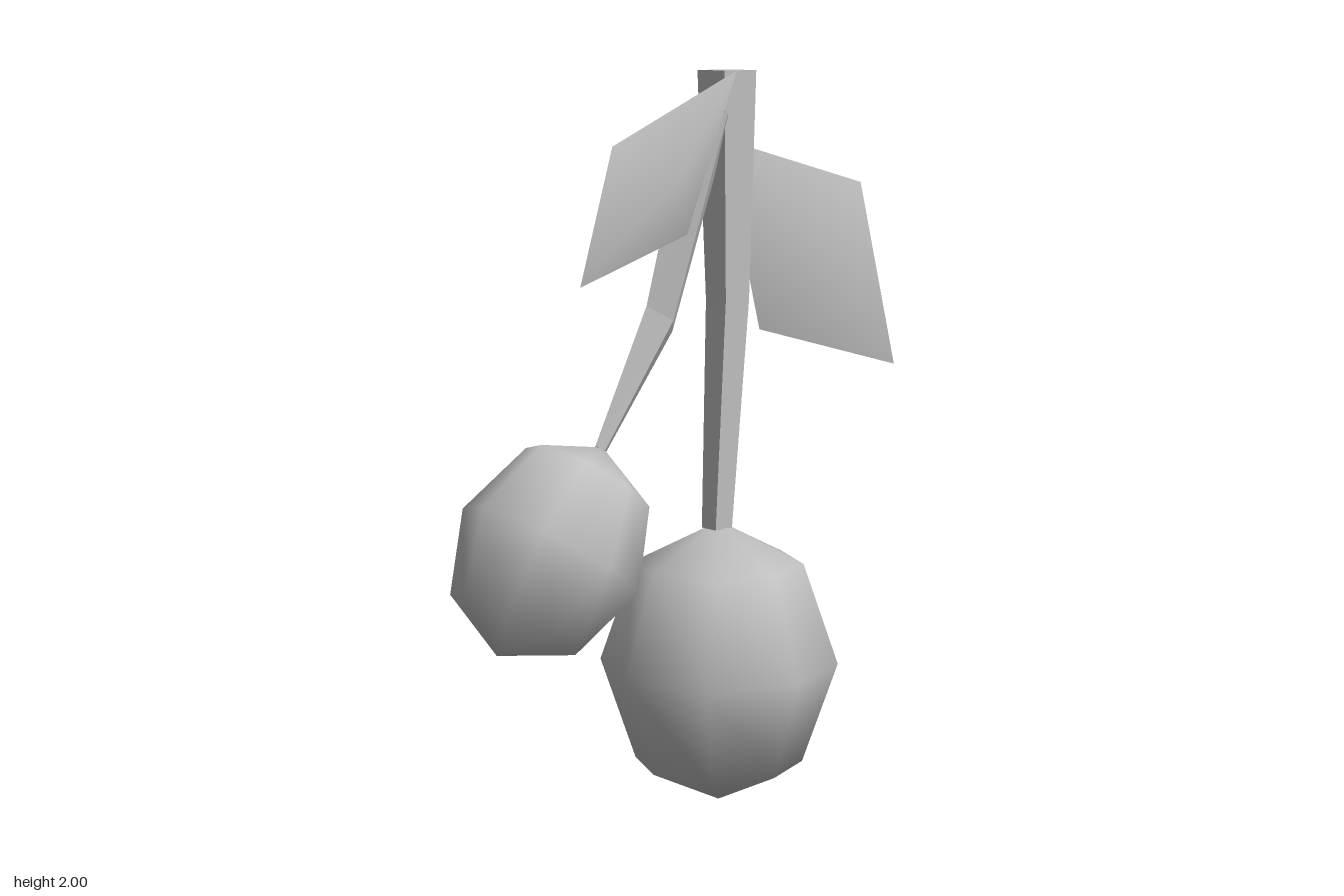
import * as THREE from 'three';

// Indexed geometry from points and triangles
function meshGeometry(points, index) {
  const g = new THREE.BufferGeometry();
  g.setAttribute('position', new THREE.Float32BufferAttribute(points.flat(), 3));
  g.setIndex(index);
  return g;
}

// Four-sided tapered stem; each ring is [x, y, radius, tilt], listed bottom to top
function stemGeometry(rings, phase) {
  const points = [], index = [];
  for (const [x, y, r, tilt] of rings) {
    for (let i = 0; i < 4; i++) {
      const a = phase + i * Math.PI / 2, d = r * Math.cos(a);
      points.push([x + d * Math.cos(tilt), y + d * Math.sin(tilt), -r * Math.sin(a)]);
    }
  }
  for (let k = 0; k < rings.length - 1; k++) {
    for (let i = 0; i < 4; i++) {
      const a = k * 4 + i, b = k * 4 + (i + 1) % 4;
      index.push(a, b, b + 4, a, b + 4, a + 4);
    }
  }
  const t = (rings.length - 1) * 4;
  index.push(0, 2, 1, 0, 3, 2, t, t + 1, t + 2, t, t + 2, t + 3);
  const g = meshGeometry(points, index).toNonIndexed();
  g.computeVertexNormals();
  return g;
}

// Four-cornered leaf raised to a soft point in its middle
function leafGeometry(corners, z, centre) {
  const points = corners.map(([x, y]) => [x, y, z]);
  points.push(centre);
  const g = meshGeometry(points, [0, 1, 4, 1, 2, 4, 2, 3, 4, 3, 0, 4]);
  g.computeVertexNormals();
  return g;
}

export function createModel() {
  const group = new THREE.Group();
  const grey = new THREE.MeshStandardMaterial({ color: 0xc0c0c0, side: THREE.DoubleSide });
  const add = (name, geometry) => {
    const mesh = new THREE.Mesh(geometry, grey);
    mesh.name = name;
    group.add(mesh);
    return mesh;
  };

  // Fruits
  const fruit = (name, x, y, radius, halfHeight, tilt) => {
    const m = add(name, new THREE.SphereGeometry(1, 8, 4));
    m.scale.set(radius, halfHeight, radius);
    m.position.set(x, y, 0);
    m.rotation.z = tilt;
  };
  fruit('largeFruit', 0.085, 0.395, 0.327, 0.393, 0);
  fruit('smallFruit', -0.485, 0.785, 0.253, 0.304, -0.604);

  // Stems
  add('mainStem', stemGeometry([
    [0.078, 0.77, 0.041, 0],
    [0.114, 1.39, 0.058, 0],
    [0.11, 2, 0.078, 0],
  ], Math.PI / 4));
  add('sideStem', stemGeometry([
    [-0.32, 1.03, 0.02, -0.6],
    [-0.121, 1.357, 0.057, -0.69],
    [0.05, 1.89, 0.074, -0.296],
  ], 0));

  // Leaves
  add('leftLeaf', leafGeometry(
    [[0.1, 1.82], [0.235, 1.3], [0.75, 1.16], [0.61, 1.685]], -0.007, [0.423, 1.49, 0.095]));
  add('rightLeaf', leafGeometry(
    [[0.085, 2], [-0.33, 1.815], [-0.435, 1.465], [-0.085, 1.58]], 0.07, [-0.165, 1.735, 0.15]));

  return group;
}
